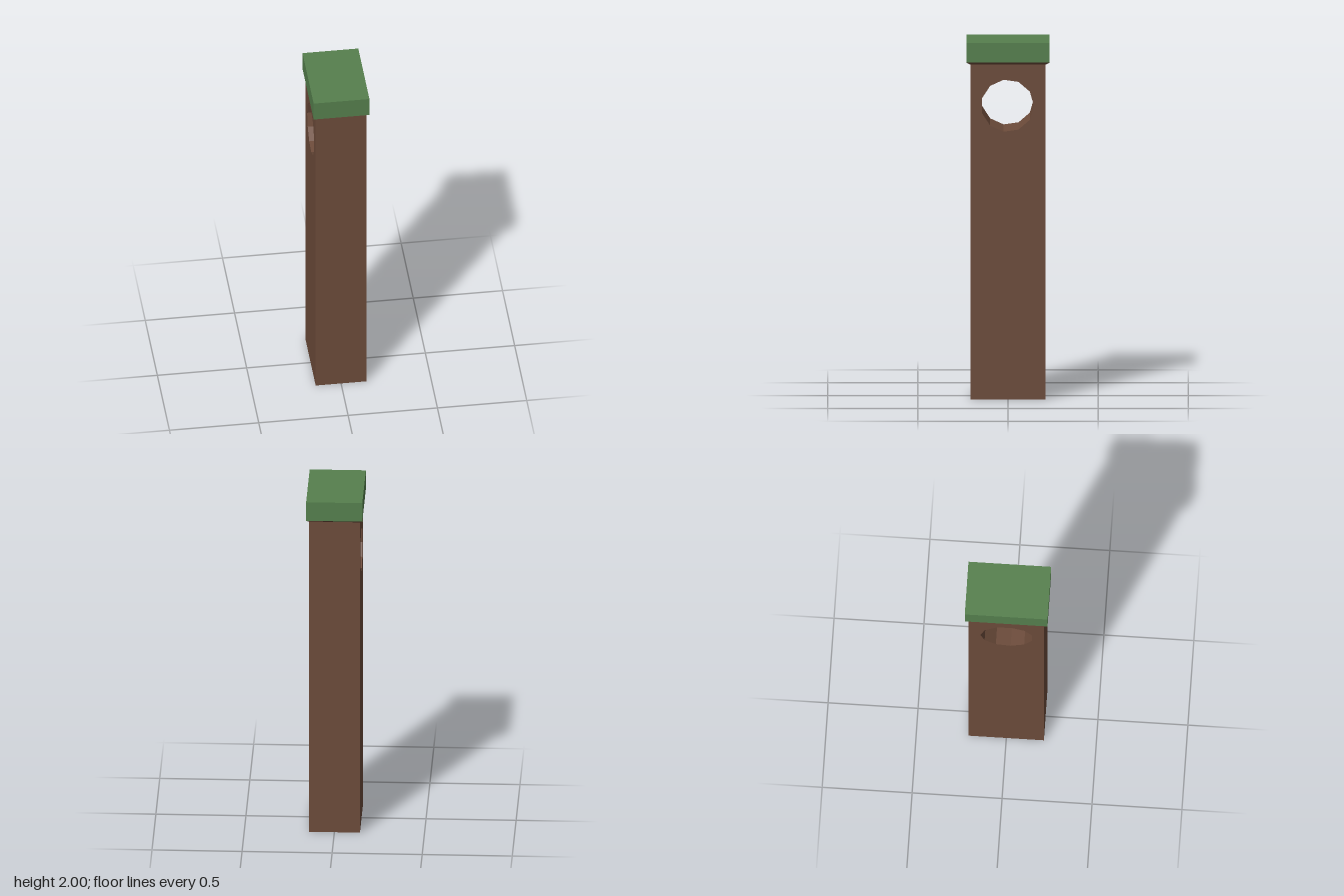
import * as THREE from 'three';

export function createModel() {
  const group = new THREE.Group();
  const brown = new THREE.MeshStandardMaterial({ name: 'brown', color: 0x6d4c3b });
  const green = new THREE.MeshStandardMaterial({ name: 'green', color: 0x56804e });
  const add = (name, geometry, material, y) => {
    const mesh = new THREE.Mesh(geometry, material);
    mesh.name = name;
    mesh.position.y = y;
    group.add(mesh);
  };

  // post: side outline with an eleven-sided hole, extruded across its width
  const halfX = 0.142, halfZ = 0.209, postTop = 1.88;
  const side = new THREE.Shape([[-halfZ, 0], [halfZ, 0], [halfZ, postTop], [-halfZ, postTop]]
    .map(([x, y]) => new THREE.Vector2(x, y)));
  const hole = [];
  for (let i = 0; i < 11; i++) {
    const a = -i / 11 * Math.PI * 2;
    hole.push(new THREE.Vector2(-0.003 + 0.147 * Math.cos(a), 1.645 + 0.147 * Math.sin(a)));
  }
  side.holes.push(new THREE.Path(hole));
  const post = new THREE.ExtrudeGeometry(side, { depth: halfX * 2, bevelEnabled: false });
  post.translate(0, 0, -halfX).rotateY(Math.PI / 2);
  add('post', post, brown, 0);

  // lip: thin four-sided taper under the cap
  const lip = new THREE.CylinderGeometry(Math.SQRT2, Math.SQRT2 * 0.92, 0.012, 4).toNonIndexed();
  lip.rotateY(Math.PI / 4).scale(0.156, 1, 0.23);
  lip.computeVertexNormals();
  add('lip', lip, brown, 1.882);

  // cap
  add('cap', new THREE.BoxGeometry(0.312, 0.112, 0.46), green, 1.944);

  return group;
}
